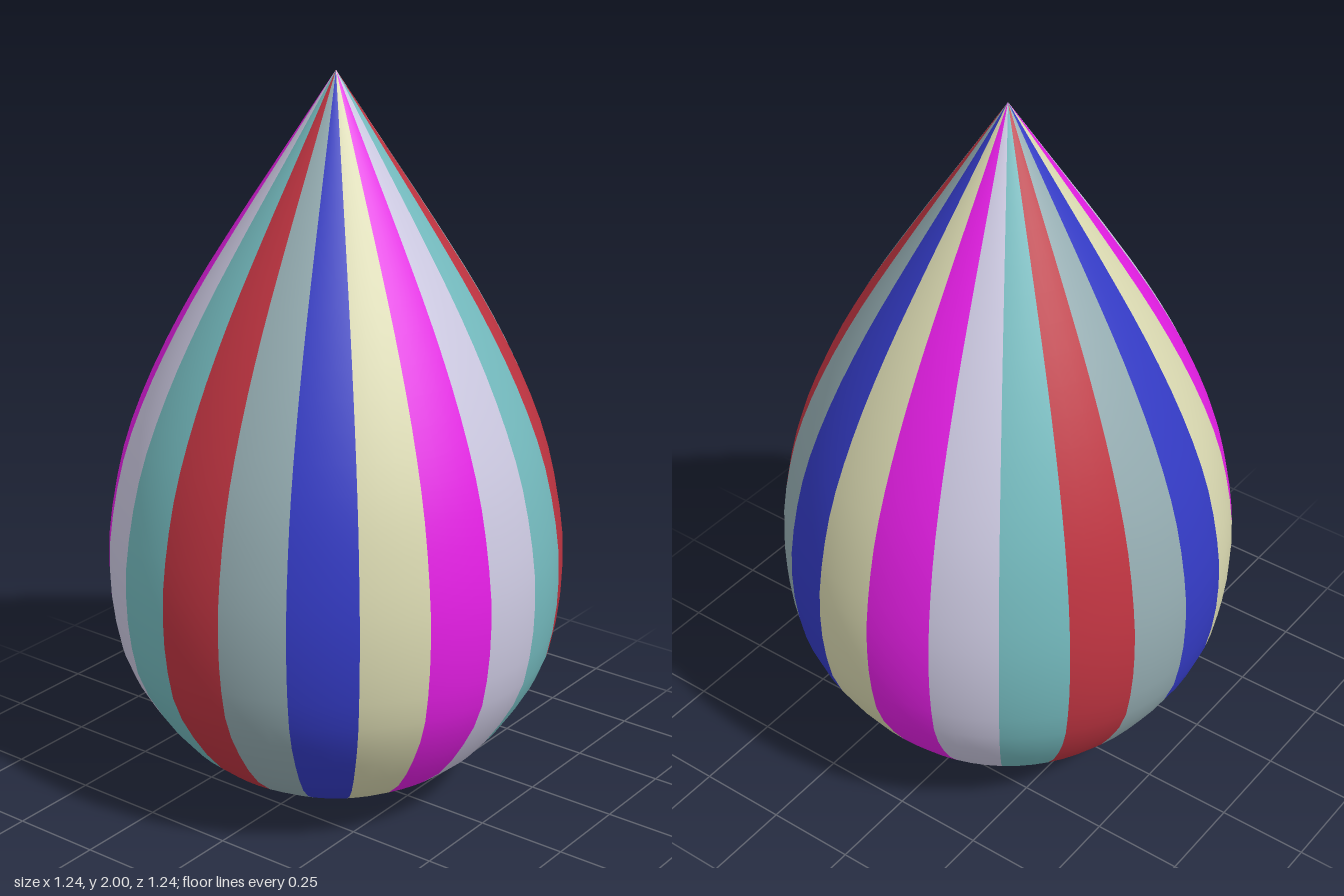
import * as THREE from 'three';

const PANELS = 21;
const RINGS = 32;

// Stripe colours in the order they repeat around the body, from +x towards +z
const stripes = [
  ['khaki', 0xdad9b1],
  ['blue', 0x343bc5],
  ['grey', 0x94acb1],
  ['red', 0xbf3441],
  ['teal', 0x74babe],
  ['lavender', 0xcbc8e0],
  ['magenta', 0xe41ee4],
];

// Teardrop profile (radius, height): rounded bottom, nearly straight cone at the tip
const outline = [
  [0, 0], [0.1, 0.007], [0.2, 0.03], [0.347, 0.1], [0.46, 0.2], [0.568, 0.37],
  [0.605, 0.5], [0.618, 0.65], [0.608, 0.8], [0.565, 1], [0.487, 1.2],
  [0.383, 1.4], [0.26, 1.6], [0.13, 1.8], [0, 2],
].map(([r, y]) => new THREE.Vector2(r, y));

export function createModel() {
  const model = new THREE.Group();
  model.name = 'stripedTeardrop';

  const materials = stripes.map(([name, color]) => {
    const material = new THREE.MeshStandardMaterial({ color });
    material.name = name;
    return material;
  });

  // One narrow curved panel, repeated around the axis
  const profile = new THREE.SplineCurve(outline).getSpacedPoints(RINGS);
  const step = (Math.PI * 2) / PANELS;
  const panelGeometry = new THREE.LatheGeometry(profile, 3, Math.PI / 2 - step, step);
  for (let i = 0; i < PANELS; i++) {
    const stripe = i % stripes.length;
    const panel = new THREE.Mesh(panelGeometry, materials[stripe]);
    panel.name = `${stripes[stripe][0]}Panel`;
    panel.rotation.y = -i * step;
    model.add(panel);
  }
  return model;
}
